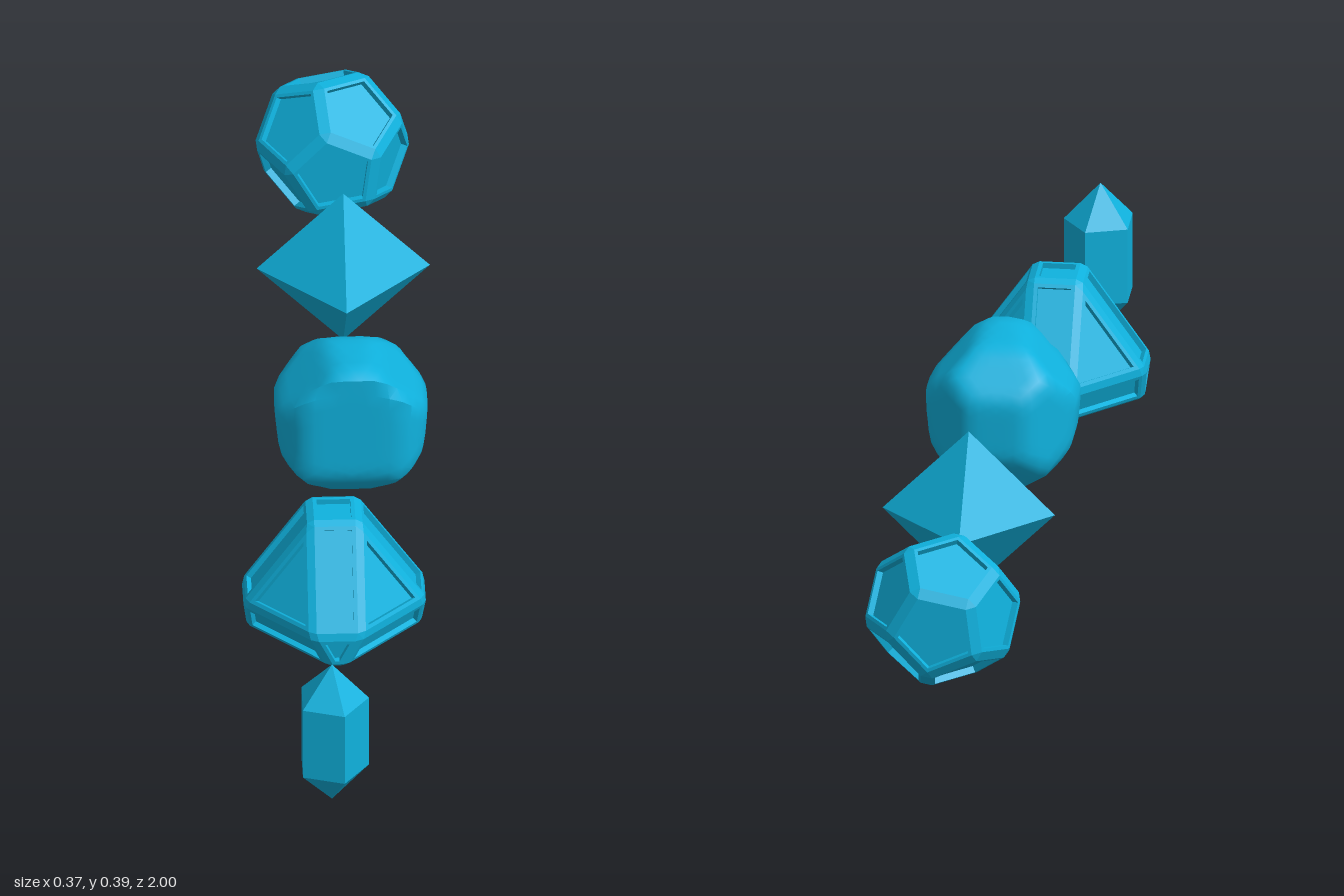
import * as THREE from 'three';
import { ConvexGeometry } from 'three/addons/geometries/ConvexGeometry.js';
import { mergeVertices, toCreasedNormals } from 'three/addons/utils/BufferGeometryUtils.js';

const V = (x, y, z) => new THREE.Vector3(x, y, z);
const COLOR = 0x0fb2de;

// Plane { n, d } with n·p = d, leaning from (r1, y1) up to (r2, y2) at a given compass angle
function sidePlane(angle, r1, y1, r2, y2) {
  const n = V((y2 - y1) * Math.cos(angle), r1 - r2, (y2 - y1) * Math.sin(angle)).normalize();
  return { n, d: n.dot(V(r1 * Math.cos(angle), y1, r1 * Math.sin(angle))) };
}

// Polygon left on one plane after cutting by all the others
function facePolygon(plane, planes) {
  const { n, d } = plane;
  const u = V(n.y, n.z, -n.x).cross(n).normalize();
  const v = n.clone().cross(u);
  let poly = [[1, 1], [-1, 1], [-1, -1], [1, -1]].map(([a, b]) =>
    n.clone().multiplyScalar(d).addScaledVector(u, a * 2).addScaledVector(v, b * 2));
  for (const q of planes) {
    if (q === plane) continue;
    const out = [];
    poly.forEach((a, i) => {
      const b = poly[(i + 1) % poly.length];
      const da = q.n.dot(a) - q.d, db = q.n.dot(b) - q.d;
      if (da <= 1e-7) out.push(a);
      if ((da < -1e-7 && db > 1e-7) || (da > 1e-7 && db < -1e-7)) out.push(a.clone().lerp(b, da / (da - db)));
    });
    poly = out;
  }
  return poly.filter((p, i) => p.distanceTo(poly[(i + 1) % poly.length]) > 1e-5);
}

// Move every edge of a convex polygon inwards by w
function inset(poly, w) {
  const k = poly.length;
  return poly.map((p, i) => {
    const e1 = p.clone().sub(poly[(i + k - 1) % k]).normalize();
    const e2 = poly[(i + 1) % k].clone().sub(p).normalize();
    const s = w / e1.clone().cross(e2).length();
    return p.clone().addScaledVector(e2, s).addScaledVector(e1, -s);
  });
}

// Solid bounded by planes, with bevelled edges and a sunken panel in each face
function panelledSolid(planes, bevel, rim, depth) {
  const tris = [], hullPoints = [];
  for (const plane of planes) {
    const poly = facePolygon(plane, planes);
    const outer = inset(poly, bevel), inner = inset(poly, bevel + rim);
    const floor = inner.map(p => p.clone().addScaledVector(plane.n, -depth));
    hullPoints.push(...outer);
    for (const [a, b] of [[outer, inner], [inner, floor]])
      a.forEach((p, i) => {
        const j = (i + 1) % a.length;
        tris.push(p, a[j], b[j], p, b[j], b[i]);
      });
    for (let i = 1; i < floor.length - 1; i++) tris.push(floor[0], floor[i], floor[i + 1]);
  }
  // bevels: the hull without the flat faces
  const pos = new ConvexGeometry(hullPoints).getAttribute('position');
  for (let i = 0; i < pos.count; i += 3) {
    const t = [0, 1, 2].map(k => V().fromBufferAttribute(pos, i + k));
    const n = new THREE.Triangle(...t).getNormal(V());
    if (!planes.some(p => p.n.dot(n) > 0.999)) tris.push(...t);
  }
  const geo = new THREE.BufferGeometry().setFromPoints(tris);
  geo.computeVertexNormals();
  return geo;
}

// Five-sided crystal with pointed ends
function crystal() {
  const profile = [[0, 0], [0.066, 0.071], [0.066, 0.213], [0, 0.285]].map(p => new THREE.Vector2(...p));
  return new THREE.LatheGeometry(profile, 5, Math.PI / 2);
}

// Pyramid on a tapering base, corners cut into strips
function pyramid() {
  const h = 0.045, diag = r => (r + h) / Math.SQRT2;
  const low = 0.075, waist = 0.143, top = 0.313;
  const planes = [{ n: V(0, 1, 0), d: top }, { n: V(0, -1, 0), d: -low }];
  for (let i = 0; i < 4; i++) {
    const a = i * Math.PI / 2, b = a + Math.PI / 4;
    planes.push(
      sidePlane(a, 0.164, waist, h, top),
      sidePlane(b, diag(0.164), waist, diag(h), top),
      sidePlane(a, 0.156, low, 0.164, waist),
      sidePlane(b, 0.12, low, diag(0.164), waist));
  }
  return panelledSolid(planes, 0.008, 0.007, 0.01);
}

// Twelve-sided solid with pentagon panels
function dodecahedron() {
  const d = 0.1175, c = 1 / Math.sqrt(5), s = 2 * c;
  const normals = [V(0, 0, 1)];
  for (let i = 0; i < 5; i++) {
    const a = (65 + 72 * i) * Math.PI / 180;
    normals.push(V(s * Math.cos(a), s * Math.sin(a), c));
  }
  const planes = normals.flatMap(n => [{ n, d }, { n: n.clone().negate(), d }]);
  return panelledSolid(planes, 0.012, 0.006, 0.012);
}

// Worn stone: a ball softly pressed against flat sides [nx, ny, nz, distance]
function stone() {
  const sides = [
    [0, 0, 1, 0.108], [0, 1, -0.05, 0.139], [0, -1, 0, 0.14], [0, 0, -1, 0.112],
    [1, -0.1, 0, 0.135], [-1, -0.1, 0, 0.133],
    [-1, 1, 0.1, 0.127], [1, 1, 0, 0.13], [1, -1, 0, 0.132], [-1, -1, 0, 0.13],
    [0, 1, -1, 0.124], [0, -1, -1, 0.12], [0, -1, 1, 0.133],
    [1, 0, -1, 0.12], [-1, 0, -1, 0.118], [1, 0, 1, 0.142], [-1, 0, 1, 0.138],
  ].map(([x, y, z, d]) => ({ n: V(x, y, z).normalize(), d }));
  let geo = new THREE.IcosahedronGeometry(1, 7);
  geo.deleteAttribute('normal');
  geo.deleteAttribute('uv');
  geo = mergeVertices(geo, 1e-4);
  const pos = geo.getAttribute('position'), p = V();
  for (let i = 0; i < pos.count; i++) {
    p.fromBufferAttribute(pos, i).normalize();
    const sum = sides.reduce((t, q) => t + Math.max(0, q.n.dot(p) / q.d) ** 26, 0);
    p.multiplyScalar(sum ** (-1 / 26));
    pos.setXYZ(i, p.x, p.y, p.z);
  }
  return toCreasedNormals(geo, 0.7);
}

export function createModel() {
  const group = new THREE.Group();
  group.name = 'gemRow';
  const faceted = new THREE.MeshStandardMaterial({ color: COLOR, flatShading: true });
  const smooth = new THREE.MeshStandardMaterial({ color: COLOR });
  const add = (name, geo, mat, x, y, z) => {
    const mesh = new THREE.Mesh(geo, mat);
    mesh.name = name;
    mesh.position.set(x, y, z);
    group.add(mesh);
  };
  add('pointedCrystal', crystal(), faceted, -0.045, 0, 0.935);
  add('panelledPyramid', pyramid(), faceted, -0.023, 0, 0.465);
  add('smoothStone', stone(), smooth, 0.023, 0.23, 0.015);
  add('octahedronGem', new THREE.OctahedronGeometry(0.155), faceted, 0.03, 0.232, -0.456);
  add('panelledDodecahedron', dodecahedron(), faceted, 0.027, 0.222, -0.882);
  return group;
}
